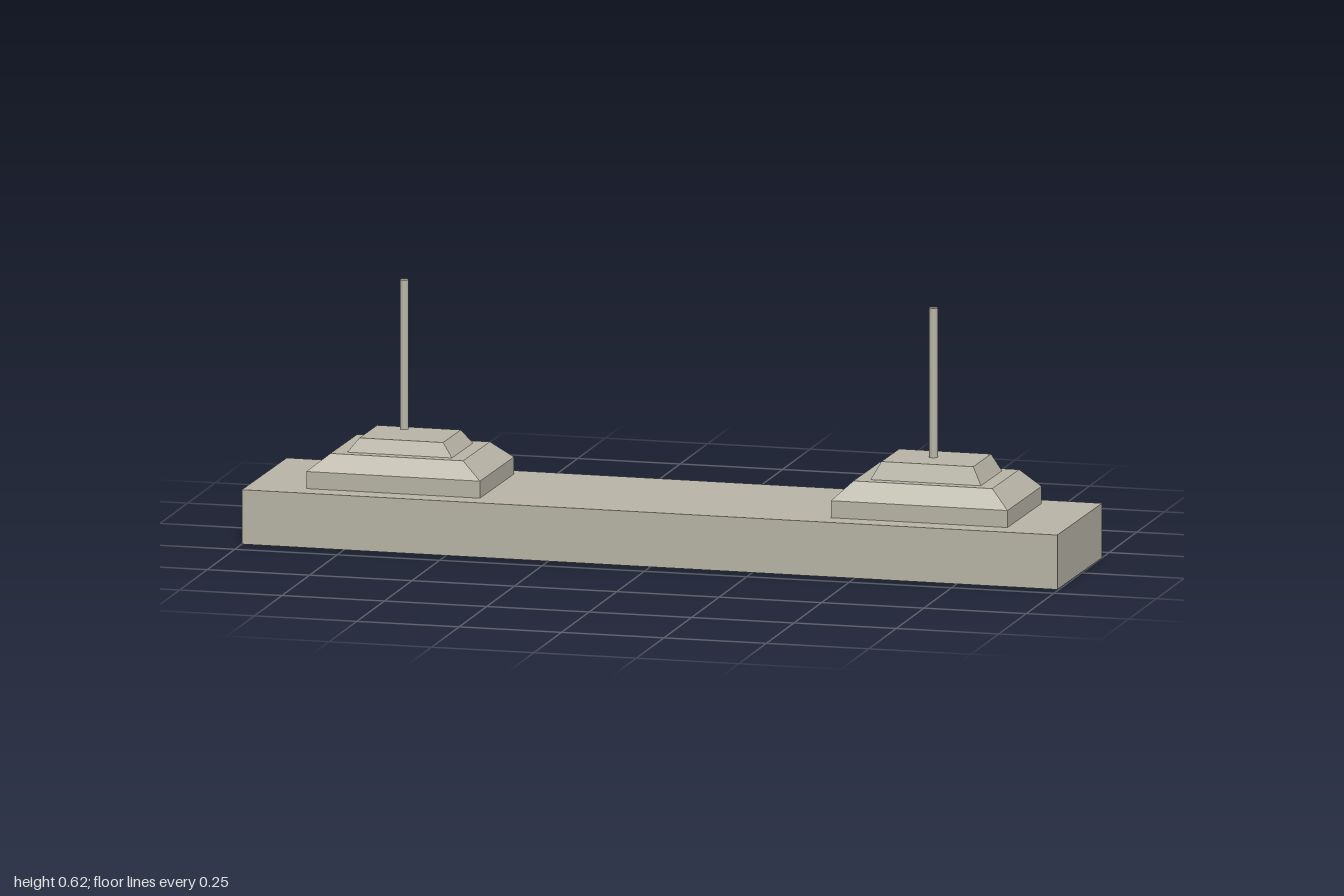
import * as THREE from 'three';

const shell = new THREE.MeshStandardMaterial({ color: 0xb8b4a6, side: THREE.DoubleSide });
const grey = new THREE.MeshStandardMaterial({ color: 0xcccccc });

function add(parent, name, geometry, material, x = 0, y = 0, z = 0) {
  const mesh = new THREE.Mesh(geometry, material);
  mesh.name = name;
  mesh.position.set(x, y, z);
  parent.add(mesh);
  return mesh;
}

// Block from y0 to y1 whose top is narrower than its base
function taperedBlock(y0, y1, w0, d0, w1, d1) {
  const box = new THREE.BoxGeometry(1, 1, 1);
  const p = box.attributes.position;
  for (let i = 0; i < p.count; i++) {
    const top = p.getY(i) > 0;
    p.setXYZ(i, p.getX(i) * (top ? w1 : w0), top ? y1 : y0, p.getZ(i) * (top ? d1 : d0));
  }
  box.computeVertexNormals();
  return box;
}

// Thin box without its bottom face
function openBox(w, h, d) {
  const box = new THREE.BoxGeometry(w, h, d);
  const index = Array.from(box.index.array);
  index.splice(18, 6);
  box.setIndex(index);
  box.clearGroups();
  return box;
}

export function createModel() {
  const model = new THREE.Group();
  model.name = 'hangingTubeLight';

  // The fixture is turned very slightly about the vertical
  const fixture = new THREE.Group();
  fixture.name = 'fixture';
  fixture.rotation.y = -0.0095;
  model.add(fixture);

  // Housing, open below
  add(fixture, 'housing', openBox(1.996, 0.131, 0.392), shell, 0, 0.0655, 0);

  // Three light tubes inside the housing
  for (let i = -1; i <= 1; i++) {
    const tube = add(fixture, 'lightTube', new THREE.CylinderGeometry(0.04, 0.04, 1.94, 32), grey, 0, 0.05, i * 0.083);
    tube.rotation.z = Math.PI / 2;
  }

  // Stepped ceiling mounts: x, shoulder height, top height, upper tier offset and widths
  const mounts = [
    { name: 'rightMount', x: -0.643, shoulder: 0.212, top: 0.245, w: [0.425, 0.325, 0.256, 0.205] },
    { name: 'leftMount', x: 0.645, shoulder: 0.216, top: 0.258, w: [0.432, 0.34, 0.27, 0.225] },
  ];
  for (const { name, x, shoulder, top, w } of mounts) {
    const mount = new THREE.Group();
    mount.name = name;
    mount.position.set(x, 0, -0.007);
    fixture.add(mount);
    add(mount, 'mountBase', taperedBlock(0.131, 0.172, w[0], 0.298, w[0], 0.298), shell);
    add(mount, 'mountSlope', taperedBlock(0.172, shoulder, w[0], 0.298, w[1], 0.235), shell);
    add(mount, 'mountCap', taperedBlock(shoulder, top, w[2], 0.184, w[3], 0.156), shell);
  }

  // Suspension rods
  for (const x of [-0.656, 0.636]) {
    add(model, 'suspensionRod', new THREE.CylinderGeometry(0.0105, 0.0105, 0.36, 24), shell, x, 0.437, -0.008);
  }
  return model;
}
